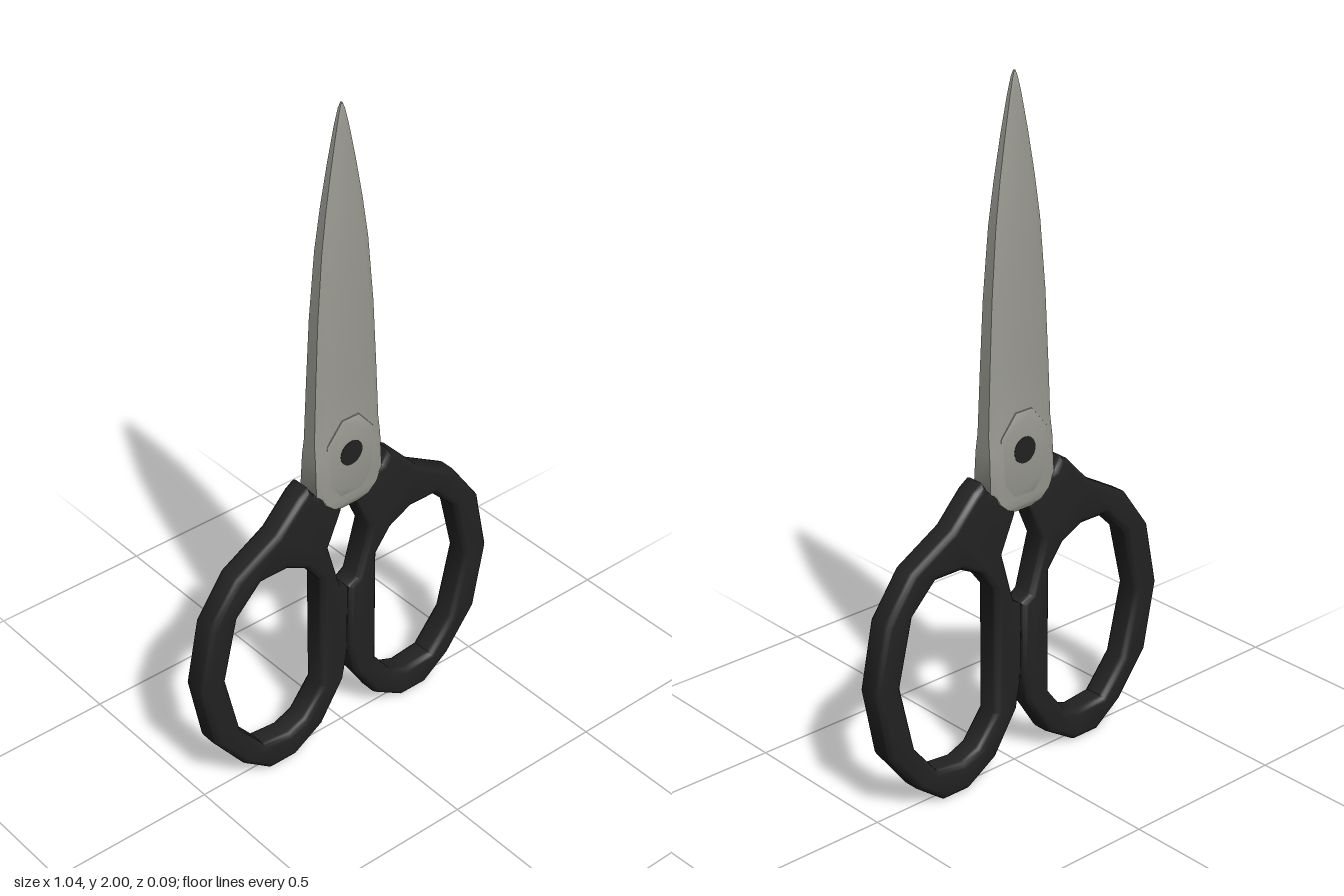
import * as THREE from 'three';
import { toCreasedNormals } from 'three/addons/utils/BufferGeometryUtils.js';

const steel = new THREE.MeshStandardMaterial({ color: 0x9a9a92 });
steel.name = 'steel';
const black = new THREE.MeshStandardMaterial({ color: 0x222222 });
black.name = 'black plastic';

const toPoints = (list) => list.map(([x, y]) => new THREE.Vector2(x, y));

// Bevelled plate centred on z = 0, whose widest outline is the given one
function plate(outline, hole, halfDepth, bevel, segments) {
  const shape = new THREE.Shape(toPoints(outline));
  if (hole) shape.holes.push(new THREE.Path(toPoints(hole)));
  const geo = new THREE.ExtrudeGeometry(shape, {
    depth: 2 * (halfDepth - bevel), bevelEnabled: true, bevelSize: bevel,
    bevelThickness: bevel, bevelOffset: -bevel, bevelSegments: segments,
  });
  geo.translate(0, 0, bevel - halfDepth);
  return toCreasedNormals(geo, 0.75);
}

// Loft of chamfered rectangles up the y axis: [y, halfWidth, halfDepth, chamfer, edgeHalfDepth]
function loft(rows) {
  const pos = [], index = [], n = 8;
  for (const [y, w, d, c, s] of rows) {
    const ring = [[w, s], [w, -s], [w - c, -d], [c - w, -d], [-w, -s], [-w, s], [c - w, d], [w - c, d]];
    for (const [x, z] of ring) pos.push(x, y, z);
  }
  for (let r = 0; r < rows.length - 1; r++) {
    for (let i = 0; i < n; i++) {
      const a = r * n + i, b = r * n + (i + 1) % n;
      index.push(a, b, b + n, a, b + n, a + n);
    }
  }
  const top = (rows.length - 1) * n;
  for (let i = 1; i < n - 1; i++) {
    index.push(0, i + 1, i, top, top + i, top + i + 1);
  }
  const geo = new THREE.BufferGeometry();
  geo.setAttribute('position', new THREE.Float32BufferAttribute(pos, 3));
  geo.setIndex(index);
  return toCreasedNormals(geo, 0.6);
}

export function createModel() {
  const model = new THREE.Group();
  model.name = 'scissors';
  const add = (name, geo, mat) => {
    const mesh = new THREE.Mesh(geo, mat);
    mesh.name = name;
    model.add(mesh);
    return mesh;
  };

  // Closed blades, tapering to the tip and rounded at the base
  add('blades', loft([
    [0.795, 0.035, 0.036, 0.008, 0.03],
    [0.81, 0.07, 0.042, 0.01, 0.035],
    [0.835, 0.098, 0.042, 0.01, 0.035],
    [0.87, 0.115, 0.042, 0.014, 0.034],
    [0.98, 0.113, 0.041, 0.02, 0.028],
    [1.03, 0.111, 0.037, 0.025, 0.022],
    [1.2, 0.104, 0.035, 0.027, 0.02],
    [1.4, 0.094, 0.032, 0.027, 0.018],
    [1.6, 0.077, 0.027, 0.025, 0.015],
    [1.72, 0.06, 0.022, 0.022, 0.012],
    [1.84, 0.039, 0.015, 0.016, 0.009],
    [1.94, 0.019, 0.009, 0.009, 0.006],
    [1.985, 0.008, 0.006, 0.004, 0.004],
    [2.0, 0.002, 0.003, 0.001, 0.002],
  ]), steel);

  // Raised pad with a peaked top around the pivot
  add('pivotPad', plate(
    [[-0.08, 0.88], [-0.04, 0.83], [0.04, 0.83], [0.08, 0.88], [0.085, 1.02], [0.03, 1.085], [-0.03, 1.085], [-0.085, 1.02]],
    null, 0.0425, 0.012, 2), steel);

  // Pivot pin running through both faces
  const pin = add('pivotPin', new THREE.CylinderGeometry(0.038, 0.038, 0.087, 20), black);
  pin.rotation.x = Math.PI / 2;
  pin.position.y = 0.97;

  // Finger loops, mirrored left and right
  const outline = [
    [0.085, 0.87], [0.118, 0.875], [0.14, 0.91], [0.17, 0.89], [0.25, 0.805], [0.39, 0.725],
    [0.48, 0.6], [0.52, 0.405], [0.48, 0.2], [0.38, 0.07], [0.29, 0.003], [0.2, 0.003],
    [0.1, 0.065], [0.02, 0.19], [0.003, 0.28], [0, 0.505], [0.03, 0.525], [0.073, 0.68],
    [0.025, 0.79], [0.045, 0.83],
  ];
  const hole = [
    [0.1, 0.58], [0.1, 0.2], [0.165, 0.115], [0.22, 0.093], [0.31, 0.102], [0.39, 0.2],
    [0.437, 0.405], [0.39, 0.6], [0.31, 0.68], [0.22, 0.68], [0.15, 0.645],
  ];
  for (const side of [1, -1]) {
    const flip = (list) => list.map(([x, y]) => [x * side, y]);
    add(side > 0 ? 'leftHandle' : 'rightHandle', plate(flip(outline), flip(hole), 0.04, 0.018, 3), black);
  }
  return model;
}
